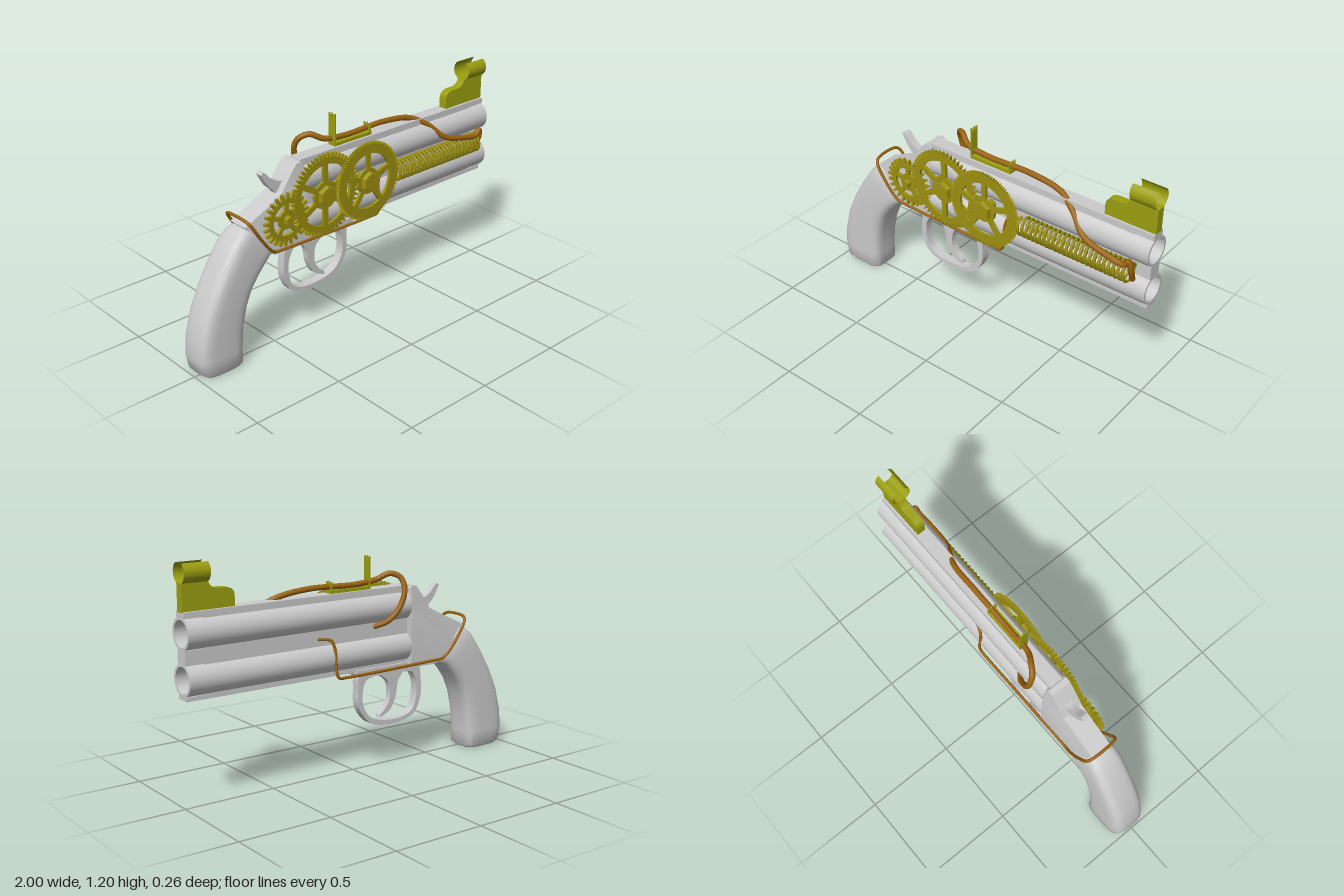
import * as THREE from 'three';
import { toCreasedNormals } from 'three/addons/utils/BufferGeometryUtils.js';

const ZC = -0.013; // middle plane of the body
const grey = new THREE.MeshStandardMaterial({ color: 0xcccccc, side: THREE.DoubleSide });
const brass = new THREE.MeshStandardMaterial({ color: 0x9c9010, side: THREE.DoubleSide });
const sightBrass = new THREE.MeshStandardMaterial({ color: 0x9ca010, side: THREE.DoubleSide });
const copper = new THREE.MeshStandardMaterial({ color: 0x9a6410 });

const v2 = (pts) => pts.map(([x, y]) => new THREE.Vector2(x, y));
const poly = (pts) => new THREE.Shape(v2(pts));
const smooth = (pts, n = 48) => new THREE.SplineCurve(v2([...pts, pts[0]])).getPoints(n);

// Flat outline thickened along z, centred on z
function slab(shape, depth, z = ZC) {
  const g = new THREE.ExtrudeGeometry(shape, { depth, bevelEnabled: false, curveSegments: 10 });
  g.translate(0, 0, z - depth / 2);
  return toCreasedNormals(g, 0.6);
}

function pipe(pts, radius, segments) {
  const curve = new THREE.CatmullRomCurve3(pts.map((p) => new THREE.Vector3(...p)), false, 'centripetal');
  const g = new THREE.Group();
  g.add(new THREE.Mesh(new THREE.TubeGeometry(curve, segments, radius, 10), copper));
  for (const p of [pts[0], pts[pts.length - 1]]) {
    const end = new THREE.Mesh(new THREE.SphereGeometry(radius, 10, 8), copper);
    end.position.set(...p);
    g.add(end);
  }
  return g;
}

// Spoked gear: toothed rim, wedge openings, hub
function gearShape(r, teeth, tooth, rim, hub, spokes, spokeWidth) {
  const pts = [];
  const step = (Math.PI * 2) / teeth;
  for (let i = 0; i < teeth; i++) {
    for (const [f, rad] of [[0, r - tooth], [0.4, r - tooth], [0.55, r], [0.85, r]]) {
      pts.push([rad * Math.cos((i + f) * step), rad * Math.sin((i + f) * step)]);
    }
  }
  const shape = poly(pts);
  for (let i = 0; i < spokes; i++) {
    const a0 = (i / spokes) * Math.PI * 2 + Math.PI / 2;
    const a1 = a0 + (Math.PI * 2) / spokes;
    const di = spokeWidth / 2 / hub, dr = spokeWidth / 2 / rim;
    const hole = new THREE.Path();
    hole.absarc(0, 0, rim, a0 + dr, a1 - dr, false);
    hole.absarc(0, 0, hub, a1 - di, a0 + di, true);
    hole.closePath();
    shape.holes.push(hole);
  }
  return shape;
}

// Grip lofted from rounded sections: [backX, backY, frontX, frontY, halfWidth, scale]
function gripGeometry() {
  const rows = [
    [-0.97, 0.005, -0.74, 0.005, 0.09, 0.01], [-0.97, 0.005, -0.74, 0.005, 0.09, 0.93],
    [-0.985, 0.025, -0.735, 0.02, 0.097, 1], [-1.0, 0.1, -0.735, 0.1, 0.098, 1],
    [-0.99, 0.2, -0.725, 0.21, 0.098, 1], [-0.955, 0.33, -0.7, 0.32, 0.098, 1],
    [-0.9, 0.45, -0.665, 0.4, 0.097, 1], [-0.83, 0.57, -0.62, 0.46, 0.096, 1],
    [-0.765, 0.665, -0.57, 0.51, 0.093, 1], [-0.715, 0.71, -0.53, 0.545, 0.086, 1],
    [-0.69, 0.73, -0.51, 0.555, 0.078, 0.92], [-0.685, 0.735, -0.505, 0.56, 0.07, 0.01],
  ];
  const N = 40, pos = [], idx = [];
  const pow = (c) => Math.sign(c) * Math.pow(Math.abs(c), 0.5);
  rows.forEach(([bx, by, fx, fy, w, s], j) => {
    for (let i = 0; i < N; i++) {
      const a = (i / N) * Math.PI * 2, u = pow(Math.cos(a)) * s * 0.5, v = pow(Math.sin(a)) * s * w;
      pos.push((bx + fx) / 2 + (fx - bx) * u, (by + fy) / 2 + (fy - by) * u, ZC + v);
      if (j === rows.length - 1) continue;
      const p = j * N + i, q = j * N + ((i + 1) % N);
      idx.push(p, p + N, q, q, p + N, q + N);
    }
  });
  const g = new THREE.BufferGeometry();
  g.setAttribute('position', new THREE.Float32BufferAttribute(pos, 3));
  g.setIndex(idx);
  return toCreasedNormals(g, 0.8);
}

export function createModel() {
  const model = new THREE.Group();
  const add = (name, geometry, material = grey) => {
    const m = new THREE.Mesh(geometry, material);
    m.name = name;
    model.add(m);
    return m;
  };

  add('grip', gripGeometry());

  // Receiver: flat sides leaning in towards the upper ridge
  const body = new THREE.ExtrudeGeometry(poly([
    [-0.32, 0.55], [-0.32, 0.86], [-0.32, 0.96], [-0.335, 0.975], [-0.365, 0.97], [-0.42, 0.9],
    [-0.46, 0.84], [-0.56, 0.79], [-0.69, 0.73], [-0.62, 0.63], [-0.53, 0.54],
  ]), { depth: 2, bevelEnabled: false });
  const bp = body.attributes.position;
  for (let i = 0; i < bp.count; i++) {
    const ridge = bp.getY(i) > 0.87 || (bp.getY(i) > 0.7 && bp.getX(i) < -0.4);
    bp.setZ(i, ZC + (bp.getZ(i) - 1) * (ridge ? 0.057 : 0.078));
  }
  add('receiver', toCreasedNormals(body, 0.3));

  // Twin hollow barrels joined by a centre plate
  const barrelProfile = v2([[0.001, 0], [0.08, 0], [0.08, 1.32], [0.066, 1.32], [0.066, 0.1], [0.001, 0.1]]);
  for (const [name, y] of [['upperBarrel', 0.87], ['lowerBarrel', 0.647]]) {
    const g = new THREE.LatheGeometry(barrelProfile, 40).rotateZ(-Math.PI / 2);
    add(name, toCreasedNormals(g, 0.6)).position.set(-0.32, y, ZC);
  }
  // the plate leaves the bores open at the muzzle
  const plateEdge = [[1, 0.55], [1, 0.572], [0.9, 0.572], [0.9, 0.722], [1, 0.722], [1, 0.795], [0.9, 0.795],
    [0.9, 0.945], [1, 0.945], [1, 0.975], [-0.33, 0.975], [-0.33, 0.55]];
  add('barrelPlate', slab(poly(plateEdge), 0.075));

  // Underside rail, trigger guard, trigger, hammer
  add('underRail', slab(poly([[-0.54, 0.56], [-0.54, 0.535], [-0.5, 0.525], [0, 0.525], [0.02, 0.54], [0.02, 0.56]]), 0.1));
  const guard = new THREE.Shape(smooth([
    [-0.42, 0.535], [-0.432, 0.44], [-0.43, 0.35], [-0.38, 0.26], [-0.25, 0.228], [-0.1, 0.25],
    [-0.02, 0.34], [-0.01, 0.44], [-0.03, 0.535], [-0.2, 0.54],
  ], 70));
  guard.holes.push(new THREE.Path(smooth([
    [-0.37, 0.5], [-0.4, 0.44], [-0.4, 0.35], [-0.36, 0.275], [-0.25, 0.252], [-0.11, 0.275],
    [-0.045, 0.35], [-0.04, 0.44], [-0.075, 0.5], [-0.22, 0.51],
  ], 70)));
  add('triggerGuard', slab(guard, 0.05));
  add('trigger', slab(new THREE.Shape(smooth([
    [-0.33, 0.52], [-0.28, 0.46], [-0.265, 0.38], [-0.23, 0.31], [-0.165, 0.275], [-0.163, 0.292],
    [-0.2, 0.325], [-0.225, 0.38], [-0.215, 0.46], [-0.16, 0.52],
  ], 60)), 0.035));
  add('hammer', slab(new THREE.Shape(smooth([
    [-0.553, 0.95], [-0.535, 0.96], [-0.49, 0.915], [-0.44, 0.89], [-0.39, 0.9], [-0.38, 0.83],
    [-0.45, 0.81], [-0.48, 0.85], [-0.515, 0.885],
  ], 50)), 0.04));

  // Gear train on the front side, with hexagonal nuts on axles
  const gears = [
    // x, y, z, radius, teeth, tooth, rim, hub, spokes, spokeWidth, nutRadius
    ['largeGear', -0.21, 0.77, 0.075, 0.222, 54, 0.022, 0.165, 0.075, 6, 0.03, 0.056],
    ['fineGear', 0.065, 0.77, 0.092, 0.212, 96, 0.011, 0.15, 0.07, 5, 0.028, 0.056],
    ['smallGear', -0.46, 0.715, 0.075, 0.14, 24, 0.03, 0.085, 0.05, 5, 0.022, 0.026],
  ];
  for (const [name, x, y, z, r, teeth, tooth, rim, hub, spokes, sw, nut] of gears) {
    const gear = new THREE.Group();
    gear.name = name;
    gear.position.set(x, y, z);
    const wheel = new THREE.Mesh(slab(gearShape(r, teeth, tooth, rim, hub, spokes, sw), 0.016, 0), brass);
    const cap = new THREE.Mesh(toCreasedNormals(
      new THREE.CylinderGeometry(nut * 0.9, nut, 0.026, 6).rotateX(Math.PI / 2), 0.3), brass);
    cap.position.z = 0.019;
    const axle = new THREE.Mesh(new THREE.CylinderGeometry(0.024, 0.024, 0.09, 20).rotateX(Math.PI / 2), brass);
    axle.position.z = -0.045;
    gear.add(wheel, cap, axle);
    model.add(gear);
  }

  // Coil spring along the front side
  const turns = 24, coil = [];
  for (let i = 0; i <= turns * 10; i++) {
    const t = i / (turns * 10), a = t * turns * Math.PI * 2;
    coil.push(new THREE.Vector3(0.28 + 0.64 * t, 0.75 + 0.05 * Math.cos(a), 0.063 + 0.045 * Math.sin(a)));
  }
  add('spring', new THREE.TubeGeometry(new THREE.CatmullRomCurve3(coil), turns * 16, 0.008, 6), brass);

  // Copper pipe from the back, over the top, to the spring end
  const mainPipe = pipe([
    [-0.11, 0.78, -0.05], [-0.16, 0.81, -0.095], [-0.22, 0.88, -0.115], [-0.25, 0.97, -0.115],
    [-0.24, 1.03, -0.09], [-0.195, 1.05, -0.06], [-0.13, 1.02, -0.025], [0, 1.005, -0.018],
    [0.28, 1.01, -0.015], [0.46, 0.985, -0.005], [0.56, 0.93, 0.035], [0.65, 0.85, 0.075],
    [0.8, 0.81, 0.088], [0.89, 0.8, 0.088], [0.918, 0.83, 0.085], [0.925, 0.78, 0.08], [0.92, 0.71, 0.05],
  ], 0.015, 160);
  mainPipe.name = 'copperPipe';
  model.add(mainPipe);

  // Thin wire running along both sides and over the back of the grip
  const side = [
    [0.25, 0.755, 0.04], [0.19, 0.745, 0.06], [0.172, 0.7, 0.07], [0.17, 0.58, 0.083], [0.155, 0.55, 0.083],
    [0.1, 0.546, 0.083], [-0.45, 0.555, 0.083], [-0.53, 0.56, 0.085], [-0.56, 0.58, 0.09],
    [-0.63, 0.67, 0.096], [-0.68, 0.75, 0.092], [-0.692, 0.77, 0.07],
  ];
  const wire = pipe([
    ...side.map(([x, y, z]) => [x, y, ZC + z]),
    ...side.slice().reverse().map(([x, y, z]) => [x, y, ZC - z]),
  ], 0.008, 240);
  wire.name = 'copperWire';
  model.add(wire);

  // Front sight: stepped block carrying a split tube
  const sight = new THREE.Shape();
  sight.moveTo(0.72, 0.97);
  sight.lineTo(0.72, 1.03);
  sight.quadraticCurveTo(0.722, 1.068, 0.77, 1.07);
  sight.lineTo(0.81, 1.07);
  sight.quadraticCurveTo(0.85, 1.075, 0.86, 1.107);
  sight.lineTo(1, 1.107);
  sight.lineTo(1, 0.97);
  add('frontSightBlock', slab(sight, 0.048), sightBrass);
  add('frontSightTube', new THREE.CylinderGeometry(0.054, 0.054, 0.14, 36, 1, true, Math.PI / 2 + 0.56, Math.PI * 2 - 1.12)
    .rotateZ(Math.PI / 2).translate(0.93, 1.156, ZC), sightBrass);

  // Rear sight: base strip with a tall and a short notched leaf
  add('rearSightBase', new THREE.BoxGeometry(0.25, 0.018, 0.048).translate(0.04, 0.983, ZC), sightBrass);
  for (const [name, x, top] of [['tallLeaf', -0.083, 1.155], ['shortLeaf', 0.157, 1.045]]) {
    const notch = top - 0.04;
    const leaf = slab(poly([
      [-0.024, 0.975], [0.024, 0.975], [0.024, top - 0.01], [0.017, top - 0.01], [0.011, notch],
      [0, top - 0.005], [-0.011, notch], [-0.017, top - 0.01], [-0.024, top - 0.01],
    ]), 0.008, 0);
    add(name, leaf.rotateY(Math.PI / 2).translate(x, 0, ZC), sightBrass);
  }
  return model;
}
